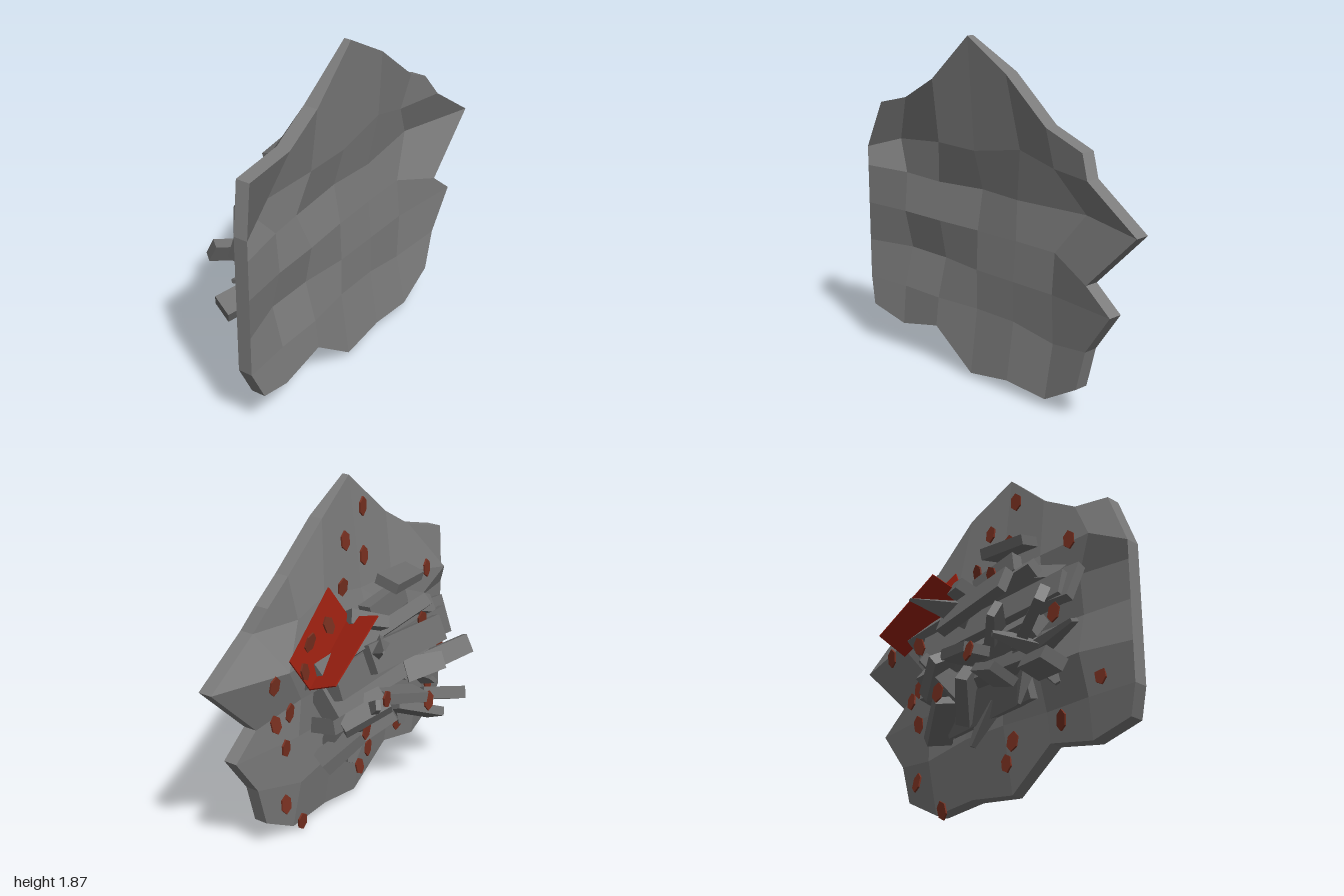
import * as THREE from 'three';

const stone = new THREE.MeshStandardMaterial({ color: 0x7b7b7b });
const rubble = new THREE.MeshStandardMaterial({ color: 0x6c6c6c, flatShading: true });
const red = new THREE.MeshStandardMaterial({ color: 0x9c2010, side: THREE.DoubleSide });
const rust = new THREE.MeshStandardMaterial({ color: 0x783020, flatShading: true });

const V = (p) => new THREE.Vector3(...p);

function add(parent, name, geometry, material) {
  const mesh = new THREE.Mesh(geometry, material);
  mesh.name = name;
  parent.add(mesh);
  return mesh;
}

// Four-cornered faces, each with one even normal
function quadGeometry(points, quads) {
  const position = [], normal = [], index = [];
  quads.forEach((quad, i) => {
    const [a, b, c, d] = quad.map((k) => V(points[k]));
    const n = c.clone().sub(a).cross(d.clone().sub(b)).normalize();
    for (const p of [a, b, c, d]) {
      position.push(p.x, p.y, p.z);
      normal.push(n.x, n.y, n.z);
    }
    const o = i * 4;
    index.push(o, o + 1, o + 2, o, o + 2, o + 3);
  });
  const g = new THREE.BufferGeometry();
  g.setAttribute('position', new THREE.Float32BufferAttribute(position, 3));
  g.setAttribute('normal', new THREE.Float32BufferAttribute(normal, 3));
  g.setIndex(index);
  return g;
}

// Cracked ground slab: a 7 x 7 grid with a ragged rim and a bumpy surface
const N = 7;
const bottomRim = [[-0.94, 0.23], [-0.72, 0.16], [-0.44, 0.22], [-0.16, 0.02], [0.12, 0.06], [0.4, 0.04], [0.62, 0.16]];
const topRim = [[-0.92, 1.41], [-0.66, 1.48], [-0.44, 1.61], [-0.16, 1.87], [0.12, 1.71], [0.4, 1.48], [0.61, 1.38]];
const moved = {
  '2,6': [0.84, 0.6], '3,6': [0.68, 0.73], '4,6': [1, 1.04], '5,0': [-1, 1.15],
  '5,1': [-0.85, 1.2], '5,4': [0.17, 1.32], '4,2': [-0.5, 1.02], '4,5': [0.56, 1.04], '1,5': [0.4, 0.33],
};
const surface = [
  [0.19, 0.16, 0.16, 0.17, 0.16, 0.16, 0.16],
  [0.16, 0.14, 0.14, 0.11, 0.11, 0.10, 0.16],
  [0.16, 0.08, 0.08, 0.11, 0.11, 0.11, 0.16],
  [0.16, 0.13, 0.12, 0.10, 0.09, 0.09, 0.16],
  [0.16, 0.11, 0.07, 0.06, 0.08, 0.03, 0.16],
  [0.16, 0.04, 0.12, 0.12, 0.11, 0.10, 0.16],
  [0.12, 0.16, 0.16, 0.20, 0.16, 0.16, 0.12],
];

function slabGeometry() {
  const upper = [], lower = [], quads = [];
  for (let r = 0; r < N; r++) {
    for (let c = 0; c < N; c++) {
      const [x, y] = r === 0 ? bottomRim[c] : r === N - 1 ? topRim[c]
        : moved[`${r},${c}`] ?? [-1 + 0.28 * c, 0.16 + 0.22 * r];
      const z = surface[r][c];
      upper.push([x, y, z]);
      lower.push([x, y, r + c === 0 ? 0.27 : Math.min(0.24, z + 0.08)]);
    }
  }
  const M = N * N;
  for (let r = 0; r < N - 1; r++) {
    for (let c = 0; c < N - 1; c++) {
      const a = r * N + c, b = a + 1, d = b + N, e = a + N;
      quads.push([a, e, d, b], [a + M, b + M, d + M, e + M]);
    }
  }
  // Rim walls, walked counter-clockwise as seen from the front
  const rim = [];
  for (let i = 0; i < N - 1; i++) rim.push(i);
  for (let i = 0; i < N - 1; i++) rim.push(i * N + N - 1);
  for (let i = N - 1; i > 0; i--) rim.push((N - 1) * N + i);
  for (let i = N - 1; i > 0; i--) rim.push(i * N);
  rim.forEach((a, i) => {
    const b = rim[(i + 1) % rim.length];
    quads.push([a, b, b + M, a + M]);
  });
  return quadGeometry([...upper, ...lower], quads);
}

// Tapered block running from one point to another
function chunk(parent, name, from, to, width, thick, taper, roll) {
  const a = V(from), b = V(to), dir = b.clone().sub(a);
  const g = new THREE.BoxGeometry(dir.length(), width, thick);
  const p = g.attributes.position;
  for (let i = 0; i < p.count; i++) {
    if (p.getX(i) > 0) p.setXYZ(i, p.getX(i), p.getY(i) * taper, p.getZ(i) * taper);
  }
  g.rotateX(roll);
  const mesh = add(parent, name, g, rubble);
  mesh.quaternion.setFromUnitVectors(new THREE.Vector3(1, 0, 0), dir.normalize());
  mesh.position.copy(a).add(b).multiplyScalar(0.5);
}

// [from, to, width, thickness, taper, roll]
const beams = [
  [[0.4, 0.96, 0.03], [-0.55, 1.07, 0.0], 0.18, 0.08, 0.9, 0.3],
  [[0.28, 0.88, -0.02], [-0.74, 0.93, -0.02], 0.17, 0.09, 0.9, -0.3],
  [[0.3, 0.76, 0.02], [-0.55, 0.79, -0.03], 0.18, 0.12, 0.8, 0.4],
  [[0.06, 0.97, -0.1], [-0.48, 1.0, -0.18], 0.16, 0.06, 0.9, 0.3],
  [[-0.4, 0.72, -0.01], [-0.75, 0.82, -0.2], 0.12, 0.06, 0.9, 0.5],
  [[-0.2, 0.98, 0.01], [-0.79, 0.94, 0.0], 0.22, 0.05, 1, 0.1],
  [[0.3, 0.64, 0.05], [-0.5, 0.62, 0.03], 0.2, 0.09, 0.8, -0.2],
  [[0.2, 0.5, 0.07], [-0.4, 0.52, 0.07], 0.2, 0.08, 0.7, 0.3],
];
const blocks = [
  [[-0.2, 1.3, -0.02], [-0.48, 1.29, 0.0], 0.06, 0.14, 0.9, 1.2],
  [[-0.08, 1.13, 0.02], [-0.38, 1.2, 0.01], 0.15, 0.08, 0.8, -0.4],
  [[0.08, 1.18, 0.04], [-0.1, 1.12, -0.08], 0.15, 0.08, 0.8, 0.2],
  [[0.28, 0.4, 0.06], [0.1, 0.55, -0.06], 0.14, 0.08, 0.8, 0.2],
  [[0.22, 0.64, -0.02], [0.0, 0.74, -0.16], 0.16, 0.07, 0.9, 0.1],
  [[0.05, 0.47, 0.06], [-0.12, 0.62, -0.12], 0.15, 0.08, 0.8, 0.8],
  [[-0.5, 0.55, -0.03], [-0.76, 0.49, -0.14], 0.13, 0.07, 1, 0.2],
  [[-0.2, 0.6, -0.06], [-0.46, 0.49, -0.18], 0.15, 0.05, 1, -0.3],
  [[-0.02, 0.74, -0.1], [-0.28, 0.68, -0.19], 0.16, 0.06, 0.9, 0.4],
  [[-0.45, 1.1, 0.05], [-0.68, 1.02, 0.02], 0.14, 0.07, 0.8, 0],
];
const shards = [
  [[-0.4, 0.66, 0.04], [-0.79, 0.72, -0.02], 0.16, 0.07, 0.3, 0.3],
  [[-0.42, 0.64, 0.04], [-0.38, 0.4, 0.0], 0.15, 0.08, 0.2, 0.7],
  [[-0.5, 0.65, 0.02], [-0.64, 0.44, 0.01], 0.14, 0.07, 0.2, -0.4],
  [[-0.5, 0.68, 0], [-0.4, 0.72, -0.2], 0.14, 0.08, 0.3, 0.9],
  [[0.0, 0.55, 0.04], [0.12, 0.76, -0.2], 0.14, 0.07, 0.4, 0.2],
  [[-0.08, 0.98, -0.05], [0.16, 1.09, -0.26], 0.14, 0.08, 0.1, -0.5],
  [[-0.1, 0.52, 0.1], [0.02, 0.3, 0.06], 0.16, 0.08, 0.3, 0.5],
  [[-0.3, 0.78, -0.08], [-0.45, 0.83, -0.23], 0.14, 0.06, 0.7, 0.1],
];

// Thin sheet panel through four corners
function panelGeometry(corners) {
  const [a, b, , d] = corners.map(V);
  const n = b.sub(a).cross(d.sub(a)).setLength(0.008);
  const back = corners.map(([x, y, z]) => [x + n.x, y + n.y, z + n.z]);
  const quads = [[0, 3, 2, 1], [4, 5, 6, 7]];
  for (let i = 0; i < 4; i++) {
    const j = (i + 1) % 4;
    quads.push([i, j, j + 4, i + 4]);
  }
  return quadGeometry([...corners, ...back], quads);
}

// Rust flakes, [x, y, z]
const flakes = [
  [-0.23, 1.69, 0.16], [-0.05, 1.55, 0.14], [0.02, 1.32, 0.105], [-0.2, 1.43, 0.13], [-0.7, 1.23, 0.06],
  [0.66, 1.0, 0.045], [0.57, 0.73, 0.12], [0.48, 0.77, 0.1], [0.5, 0.57, 0.115], [0.51, 0.24, 0.115],
  [0.34, 0.05, 0.145], [-0.22, 0.28, 0.115], [-0.16, 0.18, 0.13], [-0.54, 0.31, 0.135], [-0.82, 0.46, 0.12],
  [-0.68, 0.79, -0.05], [-0.35, 1.08, -0.15], [-0.28, 0.65, -0.25], [0.1, 0.8, -0.24], [0.1, 0.58, -0.11],
  [0.25, 1.2, 0.02], [0.43, 1.17, 0.0], [0.5, 1.04, -0.02],
];

export function createModel() {
  const model = new THREE.Group();
  model.name = 'rubblePile';
  add(model, 'groundSlab', slabGeometry(), stone);

  for (const [name, list] of [['beam', beams], ['block', blocks], ['shard', shards]]) {
    const group = new THREE.Group();
    group.name = name + 's';
    model.add(group);
    list.forEach((args) => chunk(group, name, ...args));
  }

  // Bent metal sheet: one panel rests on the slab, the other folds out
  const hinge = [[0.06, 1.18, 0.03], [0.47, 0.93, -0.03]];
  const sheet = new THREE.Group();
  sheet.name = 'bentSheet';
  model.add(sheet);
  add(sheet, 'restingPanel', panelGeometry([...hinge, [0.59, 1.12, 0.0], [0.17, 1.37, 0.08]]), red);
  add(sheet, 'foldedPanel', panelGeometry([...hinge, [0.48, 1.0, -0.2], [0.08, 1.24, -0.17]]), red);

  // Scattered six-sided flakes
  const flakeShape = new THREE.CylinderGeometry(0.042, 0.042, 0.01, 6).rotateX(Math.PI / 2).scale(0.85, 1.3, 1);
  const flakeGroup = new THREE.Group();
  flakeGroup.name = 'rustFlakes';
  model.add(flakeGroup);
  flakes.forEach((p, i) => {
    const flake = add(flakeGroup, 'rustFlake', flakeShape, rust);
    flake.position.set(...p);
    flake.rotation.set(0.15 * Math.sin(i * 2.3), 0.15 * Math.cos(i * 1.7), 0.4 * Math.sin(i * 3.1));
  });
  return model;
}
